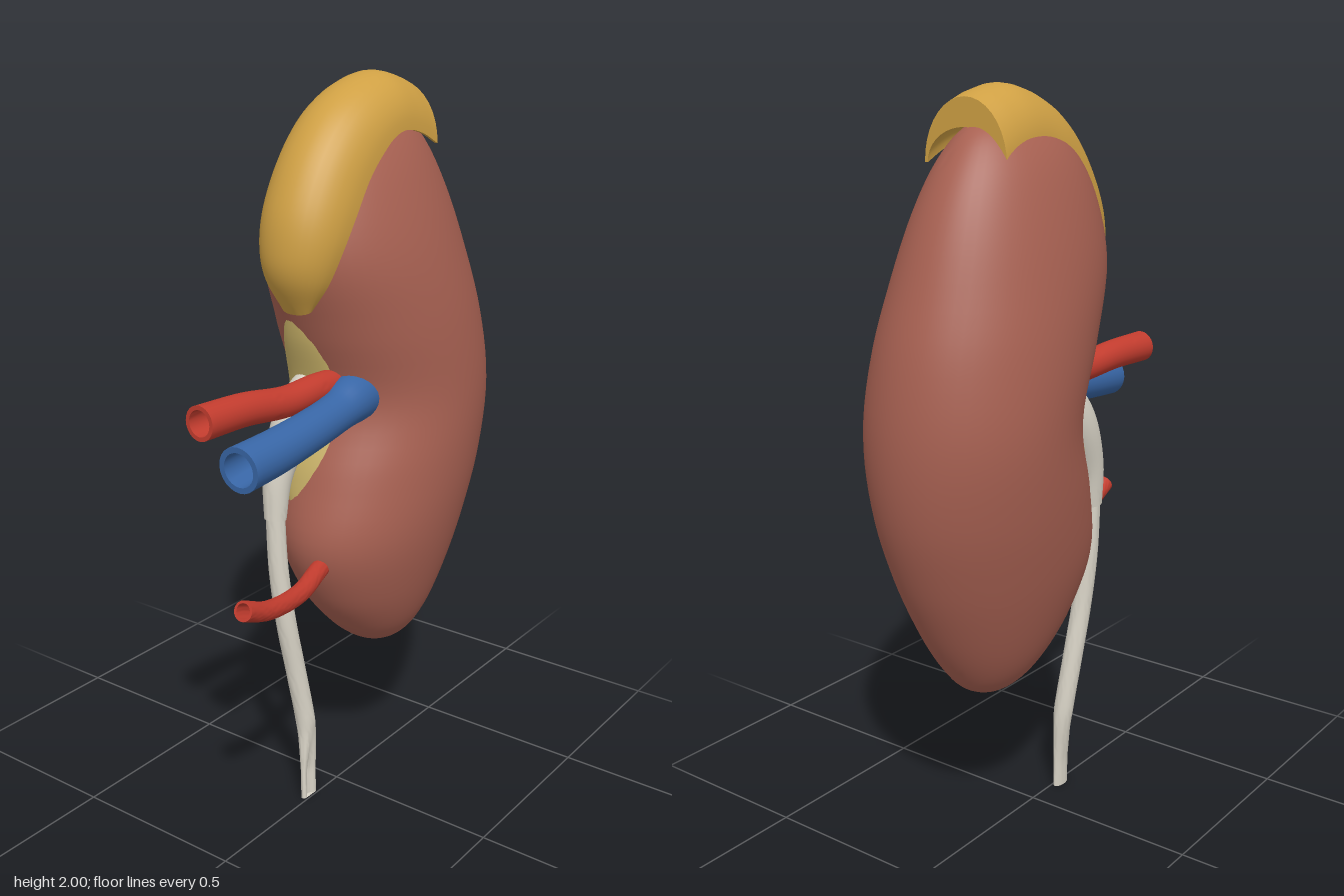
import * as THREE from 'three';
import { toCreasedNormals } from 'three/addons/utils/BufferGeometryUtils.js';

const V = (x, y, z) => new THREE.Vector3(x, y, z);
const material = (name, color) => new THREE.MeshStandardMaterial({ name, color });

// Skins a list of equal-sized rings into a closed, outward-facing solid.
function loft(rings, crease = 0.8) {
  const n = rings[0].length, pos = [], idx = [];
  rings.forEach(r => r.forEach(p => pos.push(p.x, p.y, p.z)));
  for (let i = 0; i < rings.length - 1; i++) {
    for (let j = 0; j < n; j++) {
      const a = i * n + j, b = i * n + (j + 1) % n;
      idx.push(a, b, a + n, b, b + n, a + n);
    }
  }
  const last = (rings.length - 1) * n;
  // End caps are bridged across, so crescent sections close properly.
  for (let j = 0; j < n / 2 - 1; j++) {
    const k = n - 1 - j;
    idx.push(j, k, j + 1, j + 1, k, k - 1);
    idx.push(last + j, last + j + 1, last + k, last + j + 1, last + k - 1, last + k);
  }
  // Flip the winding when the enclosed volume is negative.
  const at = i => V(pos[3 * i], pos[3 * i + 1], pos[3 * i + 2]);
  let volume = 0;
  for (let i = 0; i < idx.length; i += 3) {
    volume += at(idx[i]).dot(at(idx[i + 1]).cross(at(idx[i + 2])));
  }
  if (volume < 0) idx.reverse();
  const g = new THREE.BufferGeometry();
  g.setAttribute('position', new THREE.Float32BufferAttribute(pos, 3));
  g.setIndex(idx);
  return toCreasedNormals(g, crease);
}

// Sweeps circles along a spline; stations are [x, y, z, radius].
function sweep(stations, { hollow = false, segments = 32, sides = 24, shape = null } = {}) {
  const path = new THREE.CatmullRomCurve3(stations.map(s => V(s[0], s[1], s[2])));
  const radii = new THREE.CatmullRomCurve3(stations.map(s => V(s[3], 0, 0)), false, 'catmullrom');
  const ring = (t, scale = 1) => {
    const c = path.getPoint(t), d = path.getTangent(t), r = radii.getPoint(t).x * scale;
    const u = V(0, 0, 1).addScaledVector(d, -d.z).normalize();
    const w = d.clone().cross(u);
    return Array.from({ length: sides }, (_, j) => {
      const a = j / sides * Math.PI * 2;
      const p = c.clone().addScaledVector(u, Math.cos(a) * r).addScaledVector(w, Math.sin(a) * r);
      return shape ? shape(p, c, a) : p;
    });
  };
  const rings = [];
  if (hollow) rings.push(ring(0.15, 0.75), ring(0.07, 0.75), ring(0, 0.75));
  for (let i = 0; i <= segments; i++) rings.push(ring(i / segments));
  return loft(rings);
}

// Kidney outline at equal steps of polar angle: [medial x, lateral x, half depth].
const outline = new THREE.CatmullRomCurve3([
  [0.17, 0.17, 0], [0.08, 0.255, 0.07], [-0.015, 0.325, 0.13], [-0.11, 0.40, 0.18],
  [-0.165, 0.475, 0.222], [-0.12, 0.532, 0.248], [-0.055, 0.55, 0.257], [-0.12, 0.528, 0.25],
  [-0.182, 0.475, 0.225], [-0.16, 0.415, 0.185], [-0.09, 0.345, 0.135], [0.01, 0.265, 0.07],
  [0.14, 0.14, 0],
].map(p => V(...p)), false, 'catmullrom');
const midY = 1.17, halfY = 0.76;

function ellipseRing(cx, y, cz, rx, rz, n) {
  return Array.from({ length: n }, (_, j) => {
    const a = j / n * Math.PI * 2;
    return V(cx + rx * Math.cos(a), y, cz + rz * Math.sin(a));
  });
}

function kidneyGeometry() {
  const rings = [];
  for (let i = 0; i <= 64; i++) {
    const t = i / 64, o = outline.getPoint(t);
    const y = midY - halfY * Math.cos(t * Math.PI);
    rings.push(ellipseRing((o.x + o.y) / 2, y, (midY - y) * 0.035, (o.y - o.x) / 2, Math.max(o.z, 0), 56));
  }
  return loft(rings, 1.2);
}

// Fat pad following the notch on the medial side.
function fatGeometry() {
  const rings = [];
  for (let i = 0; i <= 28; i++) {
    const y = 0.86 + 0.6 * i / 28;
    const x = outline.getPoint(Math.acos((midY - y) / halfY) / Math.PI).x;
    const s = Math.sqrt(Math.max(0, Math.sin(i / 28 * Math.PI)));
    rings.push(ellipseRing(x + 0.036, y, -0.035, 0.054 * s, 0.1 * s, 24));
  }
  return loft(rings, 1.2);
}

// Adrenal cap: arched crescent sections, [crest x, crest y, rim x, rim y, half depth].
function adrenalGeometry() {
  const rows = [
    [-0.185, 1.43, -0.165, 1.44, 0.045], [-0.235, 1.52, -0.155, 1.51, 0.09],
    [-0.245, 1.60, -0.13, 1.59, 0.115], [-0.225, 1.70, -0.09, 1.67, 0.125],
    [-0.165, 1.815, -0.03, 1.76, 0.126], [-0.08, 1.91, 0.04, 1.825, 0.126],
    [0.02, 1.97, 0.09, 1.853, 0.125], [0.13, 2.0, 0.14, 1.86, 0.125],
    [0.21, 1.99, 0.205, 1.845, 0.125], [0.27, 1.97, 0.27, 1.815, 0.125],
  ];
  const crest = new THREE.CatmullRomCurve3(rows.map(r => V(r[0], r[1], 0)), false, 'catmullrom');
  const rim = new THREE.CatmullRomCurve3(rows.map(r => V(r[2], r[3], r[4])), false, 'catmullrom');
  const rings = [], n = 18;
  for (let i = 0; i <= 48; i++) {
    const c = crest.getPoint(i / 48), e = rim.getPoint(i / 48), ring = [];
    const arc = (lift, depth, a) => V(
      e.x + (c.x - e.x) * lift * Math.cos(a),
      e.y + (c.y - e.y) * lift * Math.cos(a),
      e.z * depth * Math.sin(a));
    for (let j = 0; j <= n; j++) ring.push(arc(1, 1, (j / n - 0.5) * Math.PI));
    for (let j = n; j >= 0; j--) ring.push(arc(0.55, 0.93, (j / n - 0.5) * Math.PI));
    rings.push(ring);
  }
  return loft(rings, 0.7);
}

// Flattens the lower ureter and folds a groove into its front.
function foldUreter(p, c, a) {
  const k = THREE.MathUtils.clamp((0.24 - p.y) / 0.16, 0, 1);
  const front = Math.max(0, Math.cos(a));
  p.z = c.z + (p.z - c.z) * (1 - 0.5 * k) - 0.019 * k * Math.pow(front, 6);
  return p;
}

export function createModel() {
  const group = new THREE.Group();
  const kidneyRed = material('kidney brown red', 0xa86152);
  const ochre = material('adrenal ochre', 0xcfa044);
  const fat = material('fat yellow', 0xc9b268);
  const arteryRed = material('artery red', 0xc23c2e);
  const veinBlue = material('vein blue', 0x3866a6);
  const ivory = material('ureter ivory', 0xd8d3c6);
  const add = (name, geometry, mat) => {
    const mesh = new THREE.Mesh(geometry, mat);
    mesh.name = name;
    group.add(mesh);
  };

  add('kidney', kidneyGeometry(), kidneyRed);
  add('hilumFat', fatGeometry(), fat);
  add('adrenalGland', adrenalGeometry(), ochre);

  // Blood vessels with open outer ends
  add('mainArtery', sweep([
    [-0.55, 1.243, 0.008, 0.044], [-0.4, 1.24, 0.015, 0.042], [-0.25, 1.225, 0.025, 0.04],
    [-0.12, 1.23, 0.03, 0.04], [0.02, 1.22, 0.03, 0.04],
  ], { hollow: true }), arteryRed);
  add('vein', sweep([
    [-0.535, 1.145, 0.112, 0.058], [-0.4, 1.152, 0.11, 0.056], [-0.25, 1.165, 0.103, 0.053],
    [-0.13, 1.178, 0.092, 0.053], [-0.06, 1.192, 0.083, 0.064], [0.03, 1.195, 0.07, 0.066],
  ], { hollow: true }), veinBlue);
  add('lowerArtery', sweep([
    [-0.55, 0.795, 0.128, 0.026], [-0.45, 0.755, 0.12, 0.025], [-0.28, 0.73, 0.09, 0.025],
    [-0.15, 0.742, 0.055, 0.025], [-0.02, 0.755, 0.03, 0.024],
  ], { hollow: true }), arteryRed);

  // Urine collecting funnel and its duct
  add('renalPelvis', sweep([
    [-0.183, 0.865, -0.068, 0.03], [-0.168, 0.98, -0.07, 0.04], [-0.122, 1.1, -0.062, 0.055],
    [-0.075, 1.18, -0.05, 0.055], [0.0, 1.25, -0.04, 0.04],
  ]), ivory);
  add('ureter', sweep([
    [-0.12, 0, -0.012, 0.029], [-0.118, 0.12, -0.015, 0.029], [-0.116, 0.22, -0.022, 0.028],
    [-0.14, 0.4, -0.038, 0.028], [-0.166, 0.56, -0.05, 0.028], [-0.18, 0.72, -0.062, 0.027],
    [-0.183, 0.88, -0.068, 0.026],
  ], { segments: 48, shape: foldUreter }), ivory);

  return group;
}
